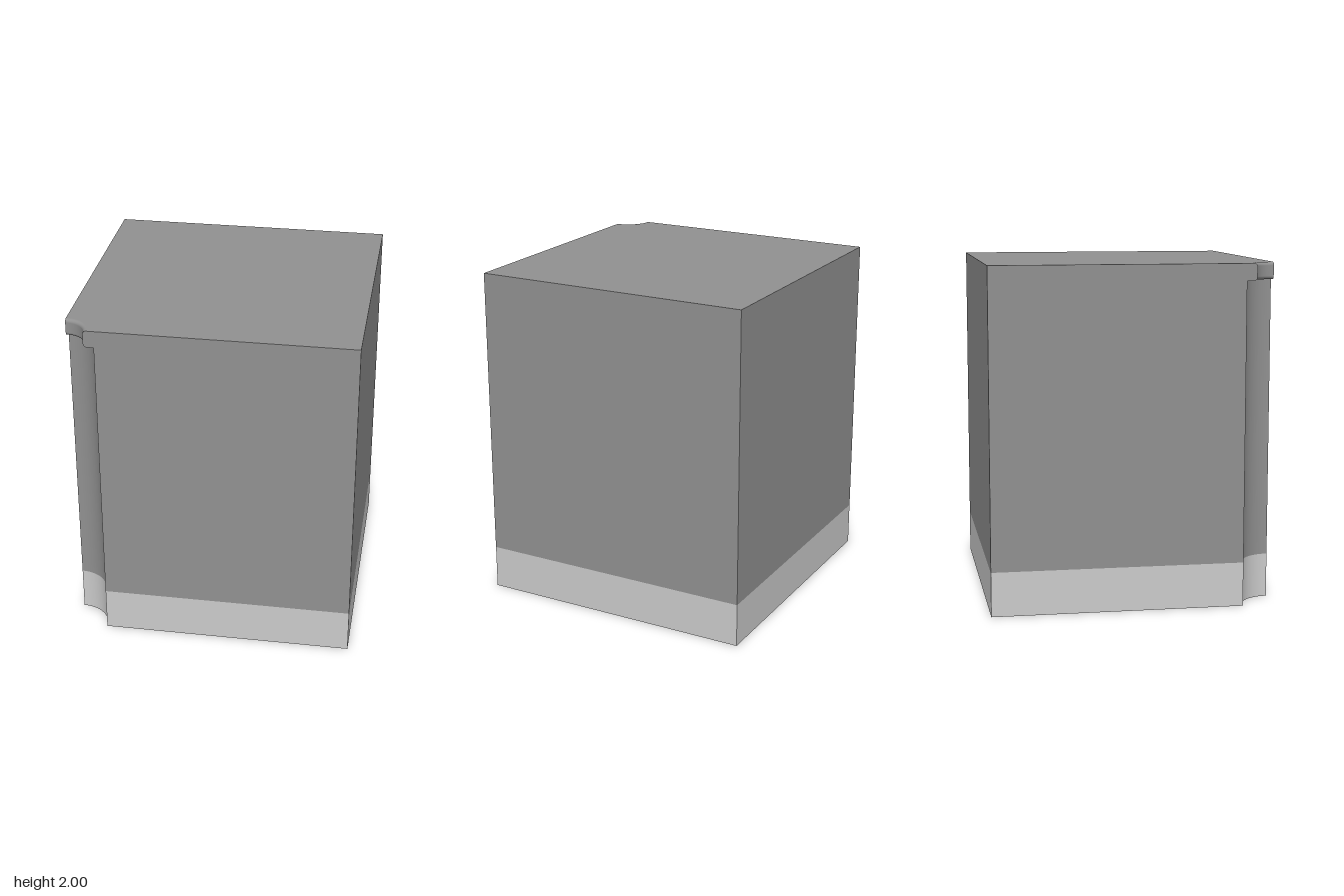
import * as THREE from 'three';
import { toCreasedNormals } from 'three/addons/utils/BufferGeometryUtils.js';

const H = 0.833;      // half width and half depth
const BASE_TOP = 0.26;
const SLAB_BOTTOM = 1.9;
const TOP = 2;
const NOTCH = 0.19;   // radius of the scooped corner
const LIP = 0.13;     // radius at the lip's edge
const ROUND = 0.02;   // rounding of the lip

// Square block with a concave round notch in its front corner at -x
function notchedBlock(name, radius, y0, y1, material) {
  const shape = new THREE.Shape();
  shape.moveTo(-H + radius, -H);
  shape.lineTo(H, -H);
  shape.lineTo(H, H);
  shape.lineTo(-H, H);
  shape.lineTo(-H, -H + radius);
  shape.absarc(-H, -H, radius, Math.PI / 2, 0, true);
  let geometry = new THREE.ExtrudeGeometry(shape, {
    depth: y1 - y0, bevelEnabled: false, curveSegments: 32,
  });
  geometry.rotateX(-Math.PI / 2);
  geometry = toCreasedNormals(geometry, 0.5);
  const mesh = new THREE.Mesh(geometry, material);
  mesh.name = name;
  mesh.position.y = y0;
  return mesh;
}

// Rounded edge lining the notch of the top slab
function roundedLip(material) {
  const lip = new THREE.Group();
  lip.name = 'roundedLip';
  const profile = [];
  for (const [y, start] of [[TOP - ROUND, Math.PI / 2], [SLAB_BOTTOM + ROUND, Math.PI]]) {
    for (let i = 0; i <= 8; i++) {
      const a = start + (i / 8) * Math.PI / 2;
      profile.push(new THREE.Vector2(LIP + ROUND + ROUND * Math.cos(a), y + ROUND * Math.sin(a)));
    }
  }
  const edge = new THREE.Mesh(
    new THREE.LatheGeometry(profile, 32, Math.PI / 2, Math.PI / 2), material);
  edge.name = 'lipEdge';
  lip.add(edge);

  // End caps flush with the front and side walls
  const capGeometry = new THREE.ShapeGeometry(new THREE.Shape(profile));
  for (const [name, turn] of [['lipFrontCap', 0], ['lipSideCap', Math.PI / 2]]) {
    const cap = new THREE.Mesh(capGeometry, material);
    cap.name = name;
    cap.rotation.y = turn;
    lip.add(cap);
  }
  lip.position.set(-H, 0, H);
  return lip;
}

export function createModel() {
  const light = new THREE.MeshStandardMaterial({ color: 0xcccccc });
  const dark = new THREE.MeshStandardMaterial({ color: 0x919191 });
  const darkThin = new THREE.MeshStandardMaterial({ color: 0x919191, side: THREE.DoubleSide });

  const model = new THREE.Group();
  model.name = 'notchedPillar';
  model.add(
    notchedBlock('baseBand', NOTCH, 0, BASE_TOP, light),
    notchedBlock('body', NOTCH, BASE_TOP, SLAB_BOTTOM, dark),
    notchedBlock('topSlab', LIP + ROUND, SLAB_BOTTOM, TOP, dark),
    roundedLip(darkThin),
  );
  return model;
}
